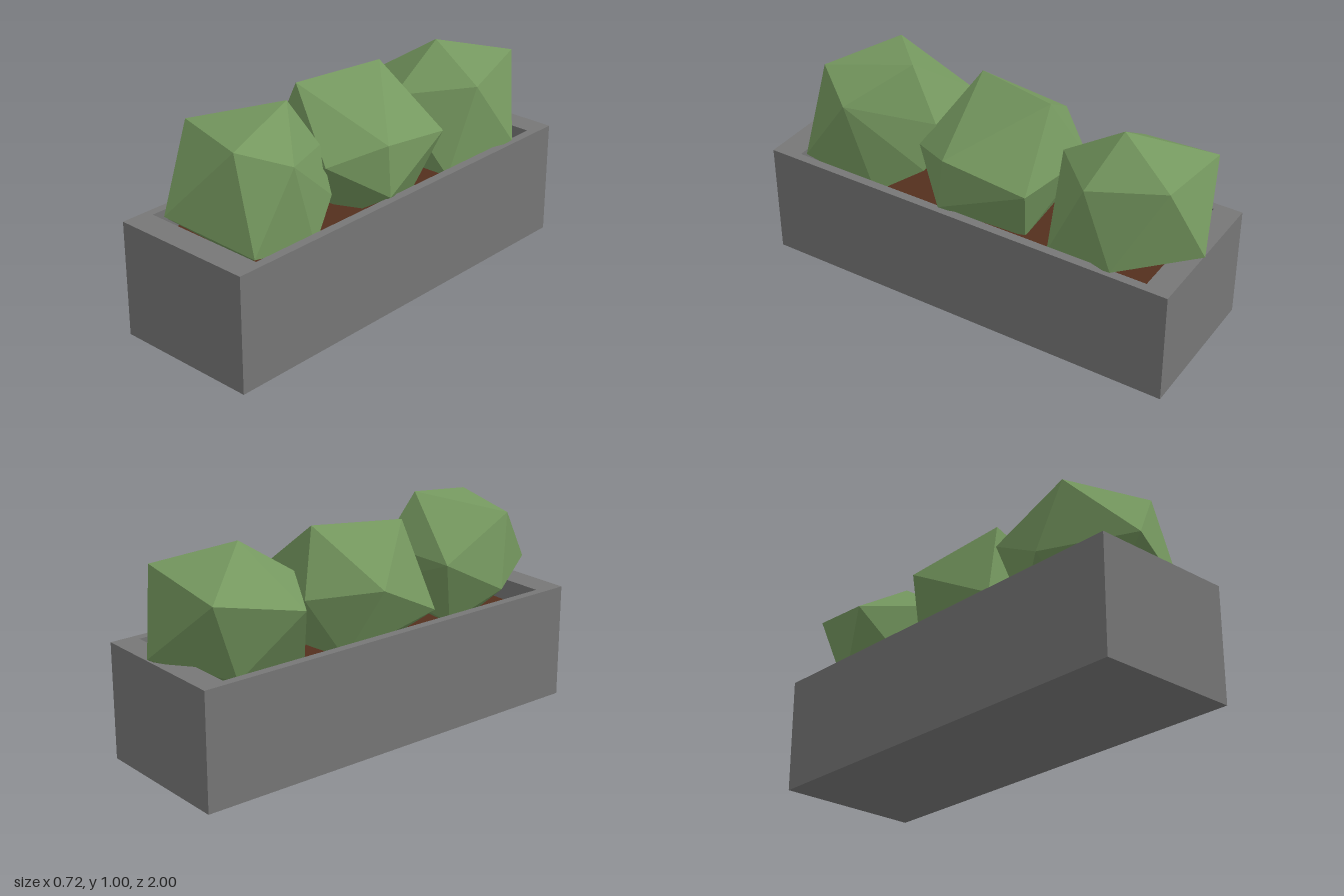
import * as THREE from 'three';
import { ConvexGeometry } from 'three/addons/geometries/ConvexGeometry.js';

const stone = new THREE.MeshStandardMaterial({ color: 0x777777, flatShading: true });
const earth = new THREE.MeshStandardMaterial({ color: 0x54301e, flatShading: true });
const leaf = new THREE.MeshStandardMaterial({ color: 0x75985f, flatShading: true });

// Twelve-cornered faceted bushes: corners [x, y, z], from the crown down
const BUSHES = {
  frontBush: [
    [0.055, 1.0, 0.43], [-0.25, 0.92, 0.71], [0.16, 0.93, 0.83], [0.295, 0.845, 0.634],
    [0.1, 0.77, 0.285], [-0.27, 0.75, 0.333], [-0.32, 0.595, 0.62], [-0.09, 0.627, 0.982],
    [0.295, 0.523, 0.86], [0.18, 0.57, 0.3], [0.275, 0.44, 0.5], [-0.2, 0.45, 0.42], [0, 0.32, 0.62],
  ],
  middleBush: [
    [-0.02, 0.978, -0.217], [-0.13, 0.957, 0.19], [0.32, 0.77, 0.104], [-0.36, 0.75, -0.1],
    [0.293, 0.71, -0.285], [-0.13, 0.7, -0.34], [0.17, 0.695, 0.325], [-0.26, 0.56, 0.275],
    [0.345, 0.545, 0.116], [-0.22, 0.44, -0.2], [0.18, 0.42, -0.22], [0, 0.32, 0.08],
  ],
  backBush: [
    [0, 0.978, -0.58], [0.193, 0.894, -0.89], [-0.26, 0.83, -0.89], [0.27, 0.83, -0.544],
    [0, 0.79, -0.295], [-0.345, 0.749, -0.497], [0.345, 0.54, -0.718], [0.055, 0.545, -1.0],
    [0.256, 0.45, -0.37], [-0.22, 0.47, -0.75], [-0.15, 0.45, -0.36], [0, 0.32, -0.62],
  ],
};

// Corners of a rectangle in plan, as [x, -z]
const rectangle = (x0, x1, z0, z1) =>
  [[x0, -z1], [x1, -z1], [x1, -z0], [x0, -z0]].map(([x, y]) => new THREE.Vector2(x, y));

export function createModel() {
  const model = new THREE.Group();
  const add = (name, geometry, material, x = 0, y = 0, z = 0) => {
    const mesh = new THREE.Mesh(geometry, material);
    mesh.name = name;
    mesh.position.set(x, y, z);
    model.add(mesh);
  };

  // Planter walls: a rectangular frame raised to the rim
  const frame = new THREE.Shape(rectangle(-0.33, 0.358, -0.987, 1.0));
  frame.holes.push(new THREE.Path(rectangle(-0.29, 0.317, -0.872, 0.875).reverse()));
  const walls = new THREE.ExtrudeGeometry(frame, { depth: 0.53, bevelEnabled: false });
  walls.rotateX(-Math.PI / 2);
  add('planterWalls', walls, stone);

  // Floor and soil filling the trough below the rim
  add('planterFloor', new THREE.BoxGeometry(0.607, 0.06, 1.747), stone, 0.0135, 0.03, 0.0015);
  add('soil', new THREE.BoxGeometry(0.607, 0.37, 1.747), earth, 0.0135, 0.245, 0.0015);

  // Bushes
  for (const [name, corners] of Object.entries(BUSHES)) {
    const points = corners.map((corner) => new THREE.Vector3(...corner));
    add(name, new ConvexGeometry(points), leaf);
  }
  return model;
}
